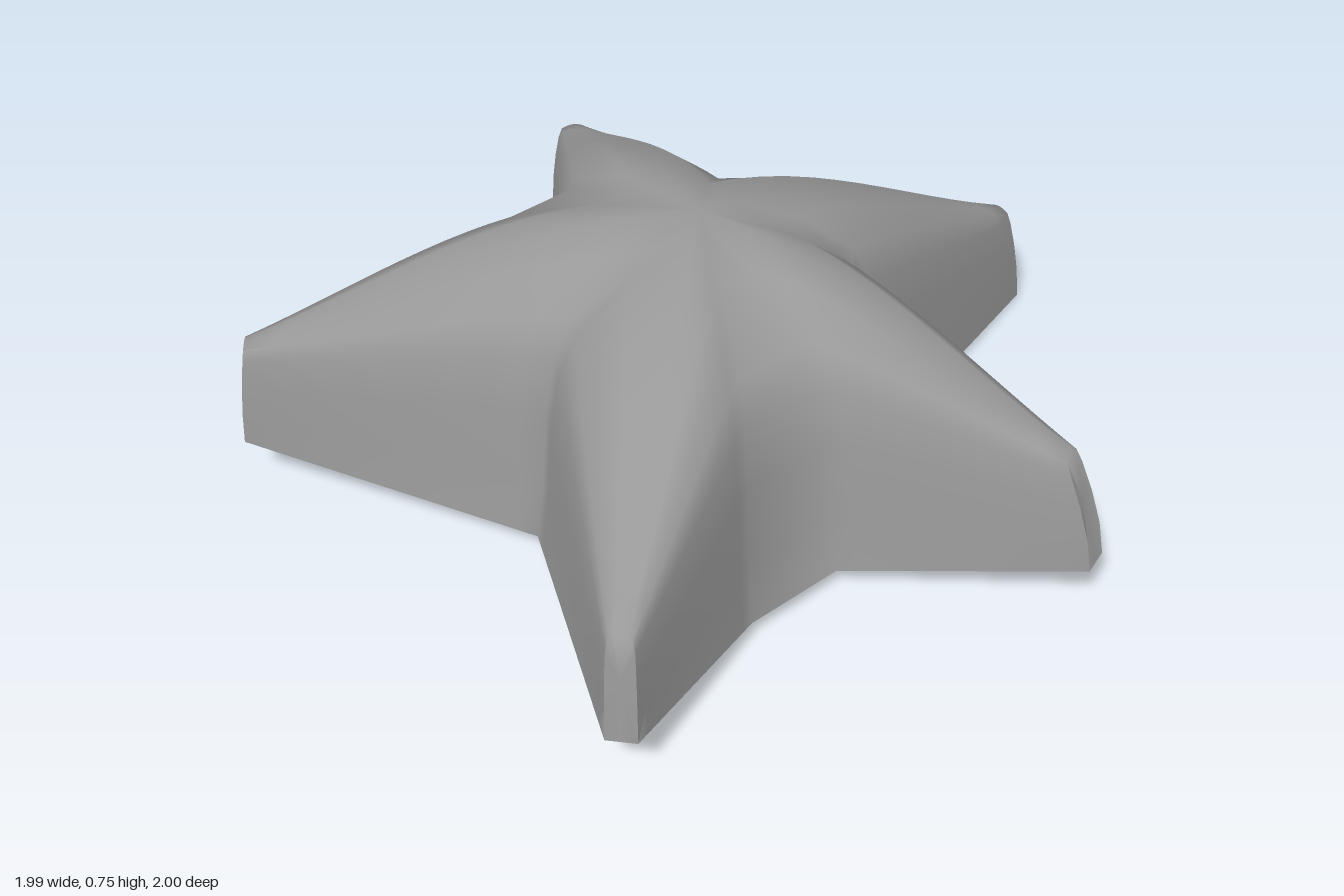
import * as THREE from 'three';
import { toCreasedNormals } from 'three/addons/utils/BufferGeometryUtils.js';

const CENTRE_Z = 0.1;
const TOP = new THREE.Vector3(0, 0.755, CENTRE_Z);
const BOTTOM = new THREE.Vector3(0, 0.06, CENTRE_Z);
const STEPS = 12;

// Steep valley wall up to a broad domed crown: [share of valley radius, height]
const WALL = [[1, 0.05], [0.95, 0.2], [0.91, 0.4], [0.85, 0.54], [0.75, 0.63], [0.4, 0.715]];
// Tip edge from the floor up: [share of half width, share of height]
const TIP = [[1, 0], [0.98, 0.3], [0.94, 0.6], [0.87, 0.85], [0.72, 0.97], [0.38, 0.99]];
// How strongly each point of a section is lifted into the arched ridge
const LIFT = [0, 0, 0, 0.1, 0.35, 0.8, 1];

// Valleys, anticlockwise from the front: floor points [x, z] at start and end
const VALLEYS = [
  [[0, 0.61], [0, 0.61]],
  [[0.55, 0.42], [0.55, 0.16]],
  [[0.285, -0.22], [0.285, -0.22]],
  [[-0.285, -0.22], [-0.285, -0.22]],
  [[-0.55, 0.16], [-0.55, 0.42]],
];

// Arms, each following the valley of the same index
const ARMS = [
  { x: 0.71, z: 0.925, y0: 0.15, y1: 0.43, inset: 0.03 },
  { x: 0.985, z: -0.24, y0: 0.14, y1: 0.43, inset: 0.09 },
  { x: 0, z: -1, y0: 0, y1: 0.3, inset: 0.06 },
  { x: -0.985, z: -0.24, y0: 0.14, y1: 0.43, inset: 0.09 },
  { x: -0.672, z: 0.98, y0: 0.15, y1: 0.43, inset: 0.03 },
];

// Wall profile above one valley floor point
function wall([x, z]) {
  return WALL.map(([f, y]) => new THREE.Vector3(x * f, y, CENTRE_Z + (z - CENTRE_Z) * f));
}

// Closed outline of an arm's narrow end
function tipRing({ x, z, y0, y1, inset }) {
  const dir = new THREE.Vector3(x, 0, z - CENTRE_Z).normalize();
  const side = new THREE.Vector3(dir.z, 0, -dir.x);
  const point = (w, h) => new THREE.Vector3(x, y0 + (y1 - y0) * h, z)
    .addScaledVector(dir, -inset * h ** 1.5)
    .addScaledVector(side, w * 0.036);
  return [
    ...TIP.map(([w, h]) => point(-w, h)),
    point(0, 1),
    ...TIP.map(([w, h]) => point(w, h)).reverse(),
    point(0, 0),
  ];
}

export function createModel() {
  const tris = [];
  const tri = (a, b, c) => {
    const area = b.clone().sub(a).cross(c.clone().sub(a)).length();
    if (area > 1e-7) for (const p of [a, b, c]) tris.push(p.x, p.y, p.z);
  };
  const quad = (a, b, c, d) => { tri(a, b, c); tri(a, c, d); };

  // Arms lofted from the crown and its two valleys to the tip
  ARMS.forEach((arm, i) => {
    const root = [
      ...wall(VALLEYS[i][1]), TOP,
      ...wall(VALLEYS[(i + 1) % 5][0]).reverse(), BOTTOM,
    ];
    const tip = tipRing(arm);
    const n = root.length;
    const rings = [];
    for (let s = 0; s <= STEPS; s++) {
      const t = s / STEPS;
      rings.push(root.map((p, j) => {
        const q = p.clone().lerp(tip[j], t);
        const lift = j === n - 1 ? 0 : LIFT[Math.min(j, n - 2 - j)];
        q.y += 0.05 * lift * 6.75 * t * (1 - t) ** 2;
        return q;
      }));
    }
    for (let s = 0; s < STEPS; s++) {
      for (let j = 0; j < n; j++) {
        const k = (j + 1) % n;
        quad(rings[s][j], rings[s + 1][j], rings[s + 1][k], rings[s][k]);
      }
    }
    // Flat end of the arm
    const middle = tip.reduce((m, p) => m.addScaledVector(p, 1 / n), new THREE.Vector3());
    tip.forEach((p, j) => tri(middle, tip[(j + 1) % n], p));
  });

  // Flanks that fill the two wide side valleys
  for (const [start, end] of VALLEYS) {
    const a = [...wall(start), TOP];
    const b = [...wall(end), TOP];
    for (let j = 0; j < a.length - 1; j++) quad(a[j], b[j], b[j + 1], a[j + 1]);
    tri(BOTTOM, b[0], a[0]);
  }

  const raw = new THREE.BufferGeometry();
  raw.setAttribute('position', new THREE.Float32BufferAttribute(tris, 3));
  const grey = new THREE.MeshStandardMaterial({ color: 0x999999 });
  grey.name = 'grey';
  const body = new THREE.Mesh(toCreasedNormals(raw, 1.25), grey);
  body.name = 'starBody';

  const group = new THREE.Group();
  group.name = 'star';
  group.add(body);
  return group;
}
